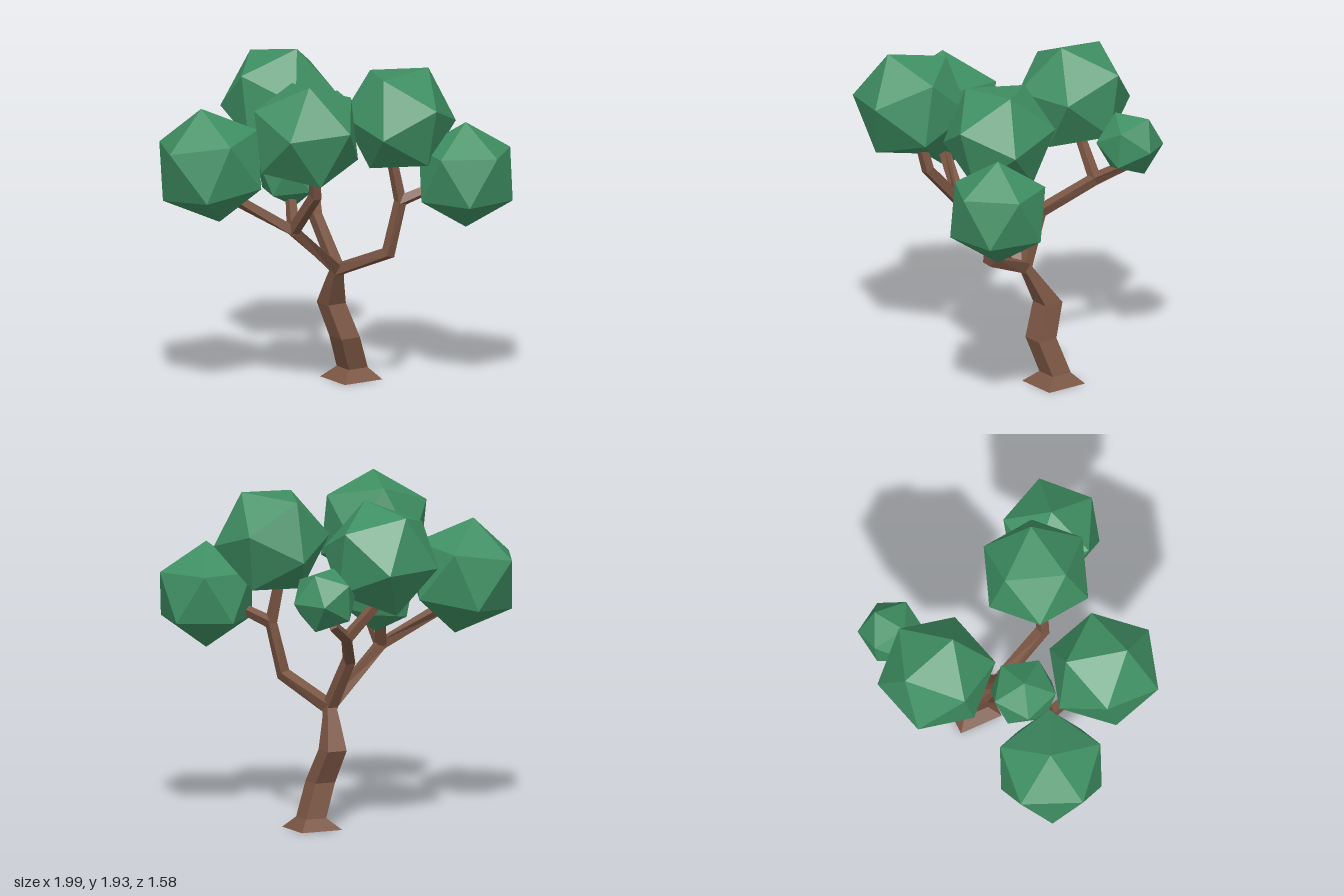
import * as THREE from 'three';

const V = (p) => new THREE.Vector3(...p);
const bark = new THREE.MeshStandardMaterial({ color: 0x7a5543, flatShading: true });
const leaf = new THREE.MeshStandardMaterial({ color: 0x3f8f63, flatShading: true });

// Square tube through points [x, y, z, halfWidth]; upright keeps every section level
function limb(name, path, upright = false) {
  const pts = path.map(V), pos = [], idx = [];
  pts.forEach((p, i) => {
    const before = pts[Math.max(i - 1, 0)], after = pts[Math.min(i + 1, pts.length - 1)];
    const n = upright ? V([0, 1, 0]) : after.clone().sub(before).normalize();
    const u = V([0.98, 0, -0.18]).projectOnPlane(n).normalize();
    const v = n.clone().cross(u);
    for (let k = 0; k < 4; k++) {
      const a = Math.PI / 4 + k * Math.PI / 2, r = path[i][3] * Math.SQRT2;
      const q = p.clone().addScaledVector(u, r * Math.cos(a)).addScaledVector(v, r * Math.sin(a));
      pos.push(q.x, q.y, q.z);
      if (i > 0) {
        const b = i * 4, c = b - 4, m = (k + 1) % 4;
        idx.push(c + k, c + m, b + m, c + k, b + m, b + k);
      }
    }
  });
  const e = (pts.length - 1) * 4;
  idx.push(0, 2, 1, 0, 3, 2, e, e + 1, e + 2, e, e + 2, e + 3); // end caps
  const geo = new THREE.BufferGeometry();
  geo.setAttribute('position', new THREE.Float32BufferAttribute(pos, 3));
  geo.setIndex(idx);
  geo.computeVertexNormals();
  const mesh = new THREE.Mesh(geo, bark);
  mesh.name = name;
  return mesh;
}

// Orthonormal frame from two directions
function frame(a, b) {
  const x = a.clone().normalize(), z = a.clone().cross(b).normalize();
  return new THREE.Matrix4().makeBasis(x, z.clone().cross(x), z);
}

// Icosahedron turned so two neighbouring corners point along a and b
function foliage(name, centre, r, a, b) {
  const t = (1 + Math.sqrt(5)) / 2;
  const turn = frame(V(a), V(b)).multiply(frame(V([-1, t, 0]), V([1, t, 0])).transpose());
  const mesh = new THREE.Mesh(new THREE.IcosahedronGeometry(r, 0), leaf);
  mesh.quaternion.setFromRotationMatrix(turn);
  mesh.position.set(...centre);
  mesh.name = name;
  return mesh;
}

export function createModel() {
  const tree = new THREE.Group();
  tree.name = 'tree';

  // Crooked trunk with a flared foot
  tree.add(limb('trunk', [
    [0.262, 0.005, -0.15, 0.128], [0.27, 0.07, -0.155, 0.064], [0.2, 0.265, -0.1, 0.063],
    [0.147, 0.455, -0.17, 0.06], [0.13, 0.61, -0.08, 0.038], [0.125, 0.71, -0.02, 0.026],
  ], true));

  // Three main limbs, each forking at its end
  const top = [0.125, 0.68, -0.03, 0.032];
  const forkR = [-0.24, 0.99, 0.19, 0.027];
  const forkL = [0.38, 1.13, 0.29, 0.026];
  const forkB = [0.15, 1.15, -0.47, 0.026];
  const limbs = {
    rightLimb: [top, forkR, [-0.57, 1.19, 0.13, 0.024]],
    rightFrontTwig: [forkR, [-0.2, 1.24, 0.42, 0.027], [-0.22, 1.38, 0.45, 0.024]],
    rightInnerTwig: [forkR, [-0.21, 1.17, 0.08, 0.022]],
    leftLimb: [top, [0.31, 0.83, 0.28, 0.03], forkL, [0.335, 1.38, 0.27, 0.022]],
    leftOuterTwig: [forkL, [0.52, 1.2, 0.36, 0.022]],
    backLimb: [top, [0.05, 0.97, -0.17, 0.029], forkB, [0.27, 1.25, -0.6, 0.022]],
    backInnerTwig: [forkB, [-0.02, 1.33, -0.47, 0.022]],
  };
  for (const [name, path] of Object.entries(limbs)) tree.add(limb(name, path));

  // Leaf clumps
  [
    ['rightFoliage', [-0.7, 1.39, 0.063], 0.337, [-0.05, 0.33, -0.015], [-0.3, 0.11, 0.113]],
    ['frontFoliage', [-0.285, 1.62, 0.485], 0.34, [-0.035, 0.315, 0.13], [-0.295, 0.15, -0.06]],
    ['backFoliage', [-0.06, 1.6, -0.443], 0.344, [0.06, 0.31, 0.11], [-0.047, 0.03, 0.343]],
    ['leftFoliage', [0.385, 1.61, 0.26], 0.333, [0.175, 0.283, 0.017], [0.325, -0.03, 0.06]],
    ['leftOuterFoliage', [0.722, 1.287, 0.44], 0.307, [0, 1, 0], [0.273, 0.135, 0]],
    ['innerFoliage', [-0.19, 1.3, 0.035], 0.207, [-0.024, 0.2, 0], [-0.195, 0.09, -0.02]],
    ['backSmallFoliage', [0.32, 1.4, -0.607], 0.195, [0.054, -0.015, -0.187], [0.08, 0.164, -0.07]],
  ].forEach((f) => tree.add(foliage(...f)));

  return tree;
}
